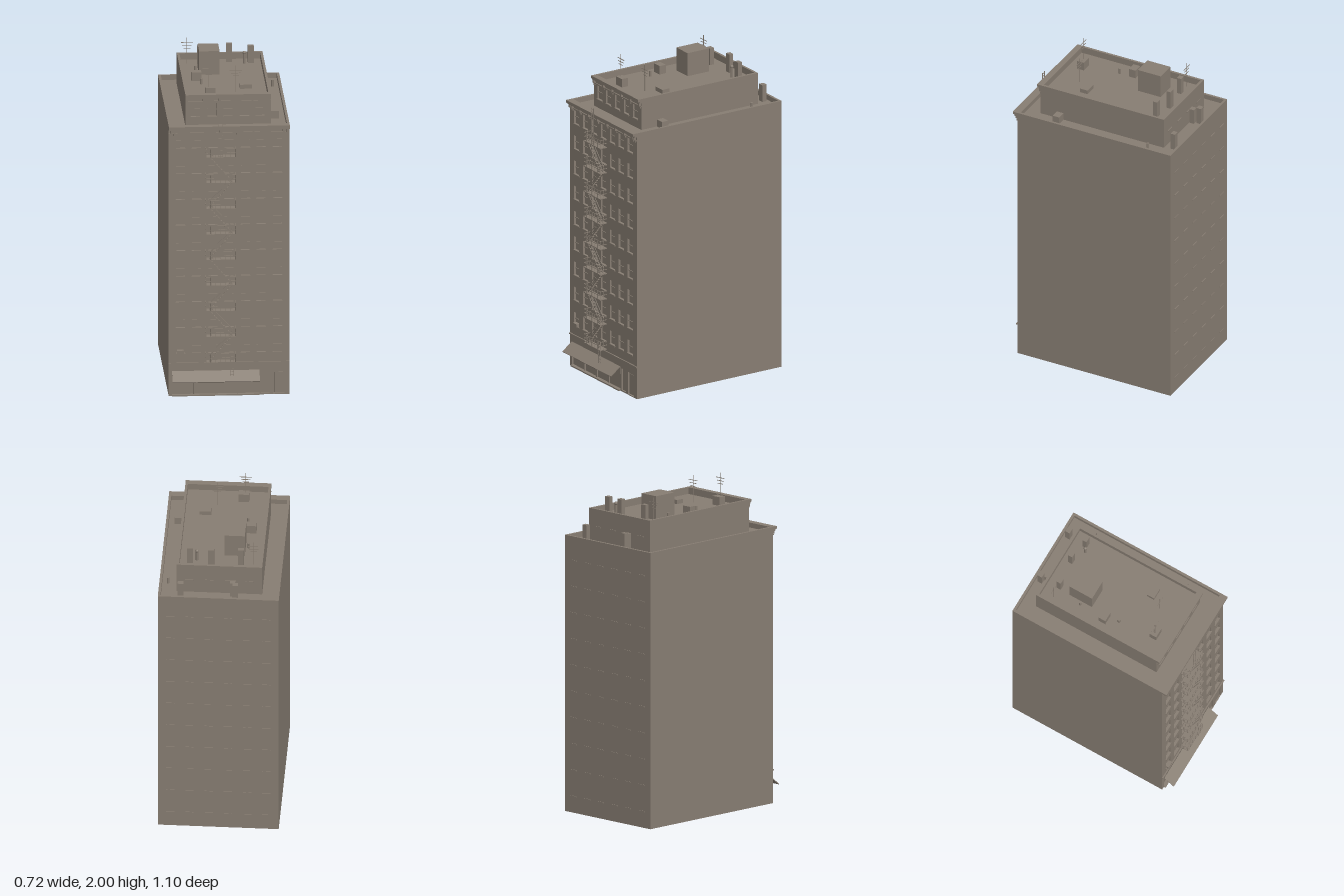
import * as THREE from 'three';

const stone = new THREE.MeshStandardMaterial({ color: 0x877d72, side: THREE.DoubleSide });
stone.name = 'warm grey stone';

function add(parent, name, geometry) {
  const mesh = new THREE.Mesh(geometry, stone);
  mesh.name = name;
  parent.add(mesh);
  return mesh;
}

// Box given by its min and max on each axis
function box(parent, name, x0, x1, y0, y1, z0, z1) {
  const mesh = add(parent, name, new THREE.BoxGeometry(x1 - x0, y1 - y0, z1 - z0));
  mesh.position.set((x0 + x1) / 2, (y0 + y1) / 2, (z0 + z1) / 2);
  return mesh;
}

// Straight bar between two points
function bar(parent, name, a, b, w = 0.004, d = w) {
  const from = new THREE.Vector3(...a), to = new THREE.Vector3(...b);
  const mesh = add(parent, name, new THREE.BoxGeometry(w, d, from.distanceTo(to)));
  mesh.position.copy(from).add(to).multiplyScalar(0.5);
  mesh.lookAt(to);
  return mesh;
}

function group(parent, name) {
  const g = new THREE.Group();
  g.name = name;
  parent.add(g);
  return g;
}

function rect(path, x0, x1, y0, y1) {
  path.moveTo(x0, y0);
  path.lineTo(x1, y0);
  path.lineTo(x1, y1);
  path.lineTo(x0, y1);
  path.closePath();
  return path;
}

const T = 0.015; // wall thickness

// Open-bottomed block: pierced front, three plain walls, sunken roof
function block(parent, name, w, y0, y1, zBack, zFront, roofY, openings) {
  const g = group(parent, name);
  const shape = rect(new THREE.Shape(), -w, w, y0, y1);
  for (const o of openings) shape.holes.push(rect(new THREE.Path(), ...o));
  const front = add(g, 'frontWall', new THREE.ExtrudeGeometry(shape, { depth: T, bevelEnabled: false }));
  front.position.z = zFront - T;
  for (const [x0, x1, a, b] of openings) box(g, 'recessedPanel', x0, x1, a, b, zFront - T, zFront - T + 0.004);
  box(g, 'rightWall', -w, -w + T, y0, y1, zBack, zFront - T);
  box(g, 'leftWall', w - T, w, y0, y1, zBack, zFront - T);
  box(g, 'backWall', -w + T, w - T, y0, y1, zBack, zBack + T);
  box(g, 'roof', -w + T, w - T, roofY - 0.005, roofY, zBack + T, zFront - T);
}

function cornice(parent, w, top, z, out, bracketXs) {
  const g = group(parent, 'cornice');
  box(g, 'corniceCap', -w, w, top - 0.016, top, z, z + out);
  box(g, 'corniceStep', -w, w, top - 0.026, top - 0.016, z, z + out * 0.65);
  box(g, 'corniceBand', -w, w, top - 0.05, top - 0.044, z, z + 0.006);
  for (const x of bracketXs) {
    box(g, 'bracket', x - 0.006, x + 0.006, top - 0.045, top - 0.026, z, z + out * 0.6);
    box(g, 'bracketFoot', x - 0.005, x + 0.005, top - 0.06, top - 0.045, z, z + out * 0.3);
  }
}

// Window sash bar and sill
function windowTrim(parent, x, y, z) {
  box(parent, 'sashBar', x - 0.027, x + 0.027, y + 0.04, y + 0.045, z - 0.012, z - 0.006);
  box(parent, 'windowSill', x - 0.03, x + 0.03, y - 0.006, y, z - 0.002, z + 0.005);
}

function pipe(parent, x, z, y0, y1) {
  const p = add(parent, 'ventPipe', new THREE.CylinderGeometry(0.008, 0.008, y1 - y0, 10));
  p.position.set(x, (y0 + y1) / 2, z);
}

function antenna(parent, x, z, y0, y1) {
  const g = group(parent, 'antenna');
  bar(g, 'mast', [x, y0, z], [x, y1, z], 0.003);
  [0.036, 0.028, 0.02].forEach((r, i) =>
    bar(g, 'antennaArm', [x - r, y1 - 0.03 - i * 0.018, z], [x + r, y1 - 0.03 - i * 0.018, z], 0.003));
}

export function createModel() {
  const model = new THREE.Group();
  model.name = 'apartmentBuilding';
  const columns = [-0.29, -0.193, -0.097, 0, 0.097, 0.19, 0.287];
  const upperColumns = columns.slice(1, 6);
  const pitch = 0.1594, floors = 9;
  const opening = (x, y) => [x - 0.027, x + 0.027, y, y + 0.083];

  // Main tower with windows, shop front and door
  const openings = [[-0.34, 0.18, 0.008, 0.095], [0.19, 0.24, 0.008, 0.145], [0.262, 0.33, 0.005, 0.145]];
  const trim = group(model, 'windowTrim');
  for (let i = 0; i < floors; i++) for (const x of columns) {
    const y = 0.265 + i * pitch;
    openings.push(opening(x, y));
    windowTrim(trim, x, y, 0.48);
  }
  block(model, 'tower', 0.36, 0, 1.68, -0.55, 0.48, 1.65, openings);
  cornice(model, 0.36, 1.68, 0.48, 0.03, [-0.345, -0.325, -0.24, -0.145, -0.05, 0.05, 0.145, 0.24, 0.325, 0.345]);

  // Set-back penthouse
  for (const x of upperColumns) windowTrim(trim, x, 1.705, 0.38);
  block(model, 'penthouse', 0.255, 1.65, 1.845, -0.45, 0.38, 1.805, upperColumns.map(x => opening(x, 1.705)));
  cornice(model, 0.255, 1.845, 0.38, 0.022, [-0.245, -0.145, -0.05, 0.05, 0.145, 0.245]);

  // Street level
  const street = group(model, 'shopFront');
  box(street, 'beltCourse', -0.36, 0.36, 0.197, 0.206, 0.48, 0.488);
  box(street, 'signBand', -0.34, 0.18, 0.105, 0.15, 0.48, 0.484);
  box(street, 'shopStep', -0.34, 0.18, 0, 0.008, 0.48, 0.492);
  for (const x of [-0.21, -0.08, 0.05]) box(street, 'shopMullion', x - 0.003, x + 0.003, 0.008, 0.095, 0.467, 0.478);
  box(street, 'doorPanel', 0.272, 0.32, 0.01, 0.135, 0.468, 0.473);
  box(street, 'windowUnit', -0.31, -0.27, 0.265, 0.285, 0.47, 0.496);
  const awning = bar(street, 'awning', [-0.08, 0.153, 0.481], [-0.08, 0.102, 0.548], 0.52, 0.005);
  awning.updateMatrix();

  // Back window sills
  const back = group(model, 'backSills');
  for (let i = 0; i < 10; i++) for (let c = 0; c < 6; c++) {
    const x = -0.287 + c * 0.1145, y = 0.1 + i * pitch;
    box(back, 'backSill', x - 0.025, x + 0.025, y - 0.004, y + 0.003, -0.554, -0.55);
  }
  for (const x of [-0.18, -0.06, 0.06, 0.18]) box(back, 'backSill', x - 0.025, x + 0.025, 1.735, 1.742, -0.454, -0.45);

  // Fire escape: platforms, rails and zigzag stairs
  const escape = group(model, 'fireEscape');
  const xa = -0.14, xb = 0.035, zf = 0.528;
  for (let i = 0; i < floors; i++) {
    const y = 0.215 + i * pitch;
    box(escape, 'platform', xa, xb, y, y + 0.005, 0.48, 0.53);
    for (const h of [0.03, 0.055]) {
      bar(escape, 'frontRail', [xa, y + h, zf], [xb, y + h, zf], 0.003);
      for (const x of [xa, xb]) bar(escape, 'sideRail', [x, y + h, 0.48], [x, y + h, zf], 0.003);
    }
    for (let k = 0; k <= 6; k++) {
      const x = xa + (xb - xa) * k / 6;
      bar(escape, 'railPost', [x, y, zf], [x, y + 0.055, zf], 0.003);
    }
    for (const x of [xa, xb]) bar(escape, 'railPost', [x, y, 0.502], [x, y + 0.055, 0.502], 0.003);
    if (i === floors - 1) continue;
    const [x0, x1] = i % 2 ? [0.02, -0.12] : [-0.12, 0.02];
    for (const z of [0.496, 0.516]) {
      bar(escape, 'stairStringer', [x0, y, z], [x1, y + pitch, z], 0.003, 0.007);
      bar(escape, 'stairHandrail', [x0, y + 0.04, z], [x1, y + pitch + 0.03, z], 0.003);
    }
    for (let k = 1; k < 10; k++) {
      const x = x0 + (x1 - x0) * k / 10, sy = y + pitch * k / 10;
      box(escape, 'stairTread', x - 0.006, x + 0.006, sy, sy + 0.002, 0.496, 0.516);
    }
  }

  // Drop ladder below and roof ladder above
  for (const [x0, x1, y0, y1, z] of [[0.003, 0.025, 0.13, 0.27, 0.518], [-0.068, -0.042, 1.49, 1.725, 0.524]]) {
    for (const x of [x0, x1]) bar(escape, 'ladderRail', [x, y0, z], [x, y1, z], 0.003);
    for (let y = y0 + 0.01; y < y1; y += 0.018) bar(escape, 'ladderRung', [x0, y, z], [x1, y, z], 0.002);
  }

  // Rooftop sheds, vents and chimneys: x, z, width, depth, base, top
  const roof = group(model, 'rooftop');
  const items = [
    ['stairHouse', -0.08, -0.207, 0.122, 0.153, 1.8, 1.95],
    ['roofVent', -0.165, -0.03, 0.06, 0.045, 1.8, 1.858],
    ['skylight', 0.12, 0.14, 0.072, 0.05, 1.8, 1.83],
    ['roofVent', -0.1, 0.282, 0.062, 0.045, 1.8, 1.858],
    ['roofVent', 0.283, 0.247, 0.055, 0.045, 1.64, 1.695],
    ['chimney', -0.123, -0.36, 0.035, 0.028, 1.8, 1.91],
    ['chimney', 0.052, -0.383, 0.035, 0.028, 1.8, 1.92],
    ['chimney', 0.18, -0.36, 0.035, 0.028, 1.8, 1.912],
    ['chimney', -0.098, -0.506, 0.033, 0.03, 1.64, 1.755],
    ['chimney', 0.227, -0.504, 0.035, 0.03, 1.64, 1.755],
    ['chimney', -0.082, -0.467, 0.033, 0.03, 1.64, 1.745],
  ];
  for (const [name, x, z, w, d, y0, y1] of items) box(roof, name, x - w / 2, x + w / 2, y0, y1, z - d / 2, z + d / 2);
  for (const p of [[0.14, -0.34, 1.8, 1.87], [-0.16, -0.2, 1.8, 1.84], [-0.14, 0.055, 1.8, 1.84], [0.31, -0.37, 1.64, 1.69]]) pipe(roof, ...p);
  const cap = add(roof, 'pipeCap', new THREE.SphereGeometry(0.011, 12, 8));
  cap.position.set(0.14, 1.872, -0.34);
  antenna(roof, -0.11, 0.285, 1.85, 2.0);
  antenna(roof, 0.055, 0.222, 1.8, 1.97);
  antenna(roof, -0.2, -0.363, 1.8, 1.965);
  return model;
}
